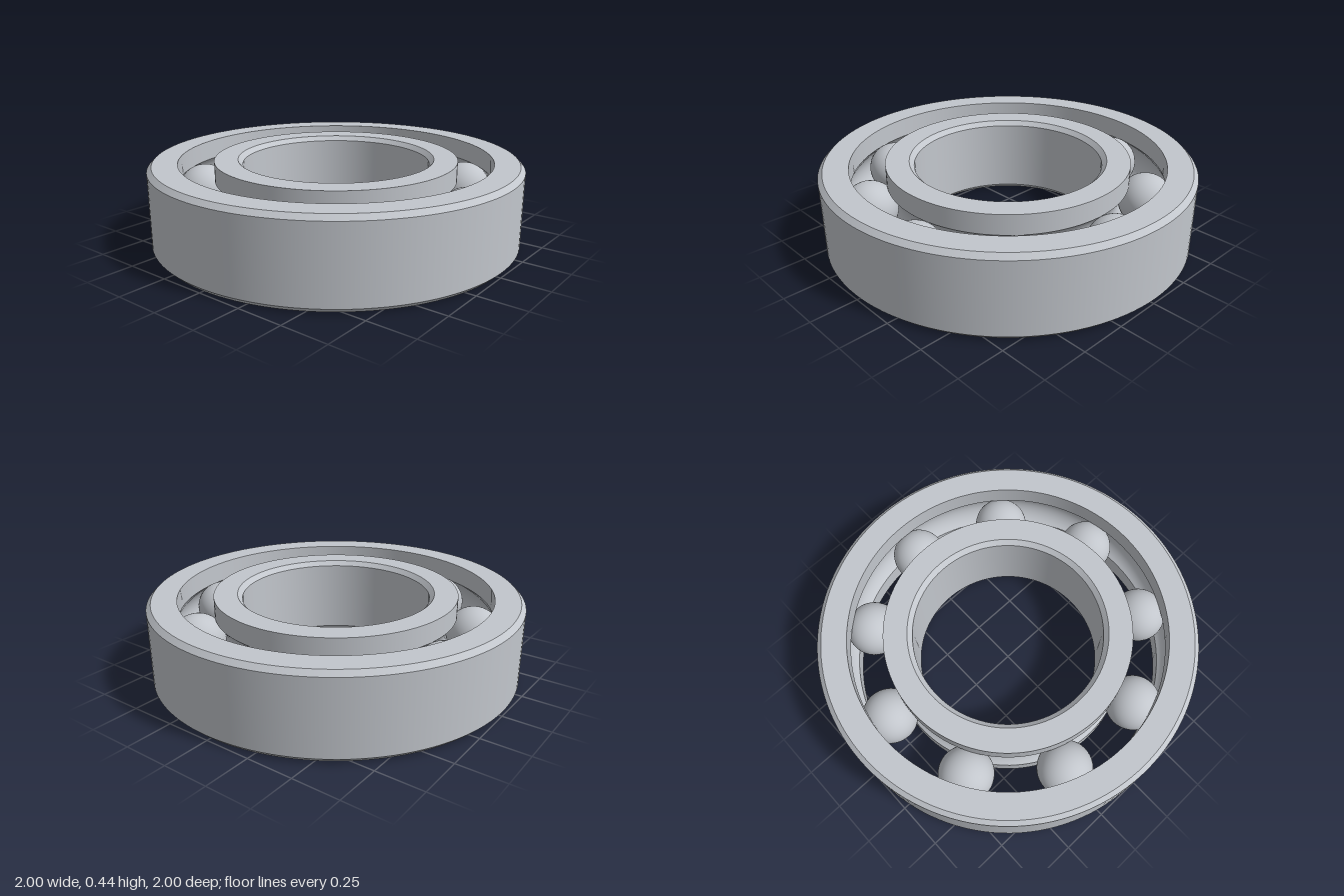
import * as THREE from 'three';
import { mergeGeometries } from 'three/addons/utils/BufferGeometryUtils.js';

const HEIGHT = 0.444, MID = HEIGHT / 2, CHAMFER = 0.025;
const PITCH = 0.748, BALL = 0.147, BALLS = 9, SEGMENTS = 128;
const OUTER = 1, OUTER_LIP = 0.842, INNER_LIP = 0.654, BORE = 0.503;

// Each run of [radius, y] points is smooth; the joins between runs stay sharp.
// Runs go counter-clockwise around the section so that faces point outwards.
function ring(runs) {
  return mergeGeometries(runs.map(run =>
    new THREE.LatheGeometry(run.map(([r, y]) => new THREE.Vector2(r, y)), SEGMENTS)));
}

// Turns a corner list into straight runs
const straight = pts => pts.slice(1).map((p, i) => [pts[i], p]);

// Ball groove: a circular arc cut into the ring at the given lip radius
function groove(lip, direction) {
  const side = Math.sign(lip - PITCH);
  const half = Math.acos(Math.abs(lip - PITCH) / BALL);
  const pts = [];
  for (let i = 0; i <= 16; i++) {
    const a = direction * half * (i / 8 - 1);
    pts.push([PITCH + side * BALL * Math.cos(a), MID + BALL * Math.sin(a)]);
  }
  return pts;
}

export function createModel() {
  const model = new THREE.Group();
  model.name = 'ballBearing';
  const steel = new THREE.MeshStandardMaterial({ color: 0xc2c6cc });
  steel.name = 'steel';

  const add = (name, geometry) => {
    const mesh = new THREE.Mesh(geometry, steel);
    mesh.name = name;
    model.add(mesh);
    return mesh;
  };

  // Outer ring: chamfered outside, grooved inside
  const outerGroove = groove(OUTER_LIP, -1);
  add('outerRing', ring([
    ...straight([
      outerGroove[16], [OUTER_LIP, 0], [OUTER - CHAMFER, 0], [OUTER, CHAMFER],
      [OUTER, HEIGHT - CHAMFER], [OUTER - CHAMFER, HEIGHT], [OUTER_LIP, HEIGHT], outerGroove[0],
    ]),
    outerGroove,
  ]));

  // Inner ring: grooved outside, chamfered bore
  const innerGroove = groove(INNER_LIP, 1);
  add('innerRing', ring([
    ...straight([
      innerGroove[16], [INNER_LIP, HEIGHT], [BORE + CHAMFER, HEIGHT], [BORE, HEIGHT - CHAMFER],
      [BORE, CHAMFER], [BORE + CHAMFER, 0], [INNER_LIP, 0], innerGroove[0],
    ]),
    innerGroove,
  ]));

  // Balls evenly spaced between the races
  const ball = new THREE.SphereGeometry(BALL, 40, 24);
  for (let i = 0; i < BALLS; i++) {
    const a = (i / BALLS) * Math.PI * 2;
    add('ball' + (i + 1), ball).position.set(PITCH * Math.cos(a), MID, PITCH * Math.sin(a));
  }
  return model;
}
